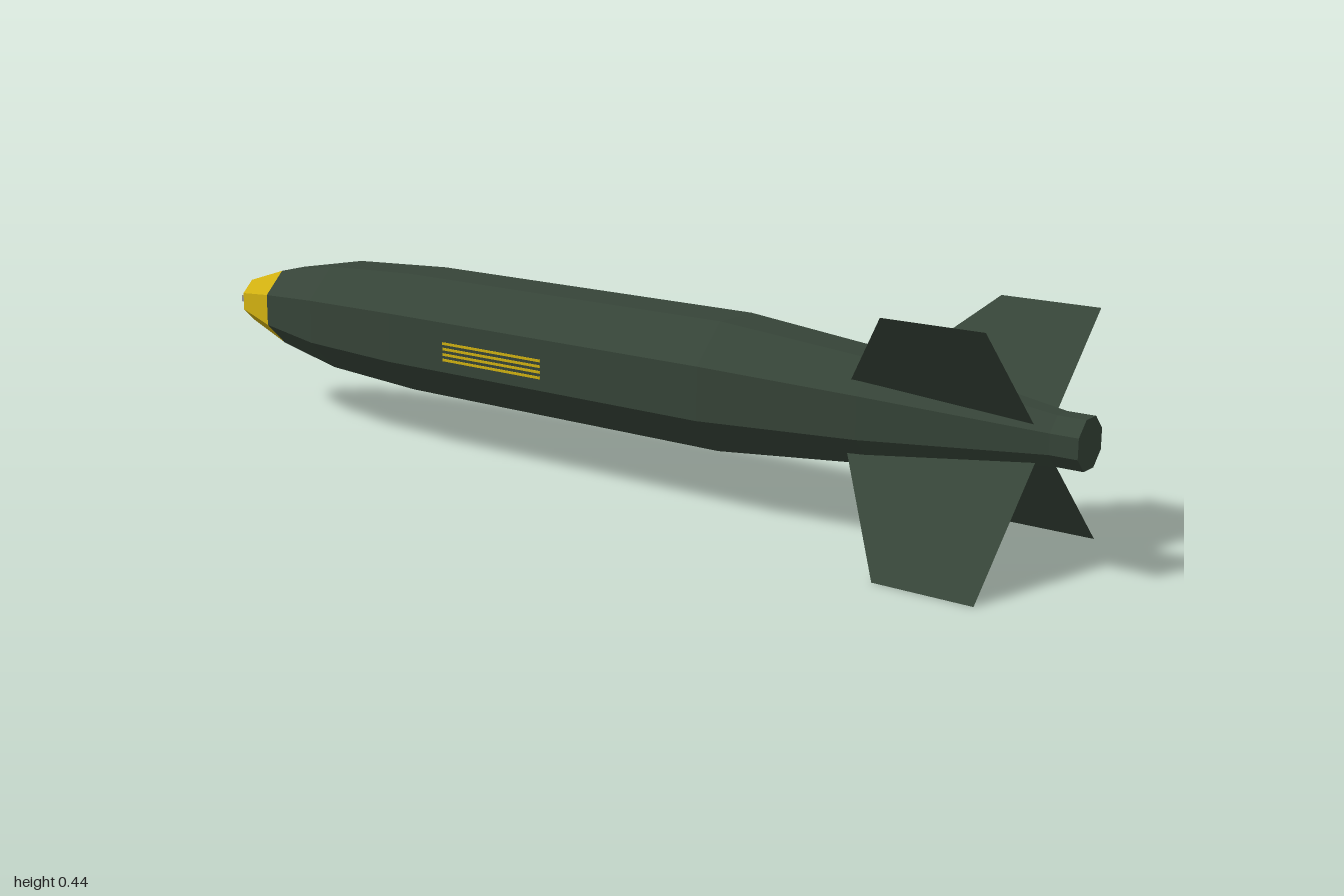
import * as THREE from 'three';

const AXIS_Y = 0.2315;
const OCT = Math.cos(Math.PI / 8);

export function createModel() {
  const green = new THREE.MeshStandardMaterial({ color: 0x364438, side: THREE.DoubleSide });
  green.name = 'darkGreen';
  const yellow = new THREE.MeshStandardMaterial({ color: 0xd0b010 });
  yellow.name = 'yellow';
  const grey = new THREE.MeshStandardMaterial({ color: 0x9a9a9a });
  grey.name = 'grey';

  const model = new THREE.Group();
  model.name = 'finnedCasing';

  const add = (parent, name, geometry, material) => {
    const mesh = new THREE.Mesh(geometry, material);
    mesh.name = name;
    parent.add(mesh);
    return mesh;
  };

  // Faceted eight-sided shell along z from [z, half width across flats] pairs
  const octShell = (profile) => {
    const points = profile.map(([z, a]) => new THREE.Vector2(a / OCT, z));
    const g = new THREE.LatheGeometry(points, 8, Math.PI / 8).rotateX(Math.PI / 2).toNonIndexed();
    g.computeVertexNormals();
    return g.translate(0, AXIS_Y, 0);
  };

  // Casing, with a closed tail end
  add(model, 'casing', octShell([
    [-0.855, 0.079], [-0.69, 0.108], [-0.45, 0.12], [0.31, 0.12],
    [0.62, 0.092], [0.95, 0.043], [1, 0.043], [1, 0],
  ]), green);
  add(model, 'noseBand', octShell([[-0.97, 0.044], [-0.855, 0.079]]), yellow);

  // Fuse: face plate, stem and crossed vanes
  const fuse = new THREE.Group();
  fuse.name = 'fuse';
  model.add(fuse);
  add(fuse, 'facePlate', octShell([[-0.97, 0], [-0.97, 0.044]]), grey);
  add(fuse, 'stem', octShell([[-0.995, 0], [-0.995, 0.01], [-0.97, 0.01]]), grey);
  for (const [w, h] of [[0.046, 0.014], [0.014, 0.046]]) {
    add(fuse, 'vane', new THREE.BoxGeometry(w, h, 0.007), grey).position.set(0, AXIS_Y, -0.9965);
  }

  // Two thin crossed plates form the four diagonal tail fins
  const finPair = (name, left, right, angle) => {
    const s = Math.SQRT2;
    const shape = new THREE.Shape([
      [-left, 0.92], [-left, 0.735], [0, 0.53], [right, 0.735], [right, 0.92],
    ].map(([x, z]) => new THREE.Vector2(x * s, z)));
    const g = new THREE.ShapeGeometry(shape).rotateX(Math.PI / 2).rotateZ(angle);
    add(model, name, g.translate(0, 0.2195, 0), green);
  };
  finPair('finPairA', 0.2195, 0.2195, -Math.PI / 4);
  finPair('finPairB', 0.2195, 0.194, Math.PI / 4);

  // Plain painted bars on the side
  for (let i = 0; i < 4; i++) {
    const bar = add(model, 'sideMarking', new THREE.BoxGeometry(0.002, 0.005, 0.25), yellow);
    bar.position.set(-0.1205, 0.207 + i * 0.011, -0.177);
  }
  return model;
}
